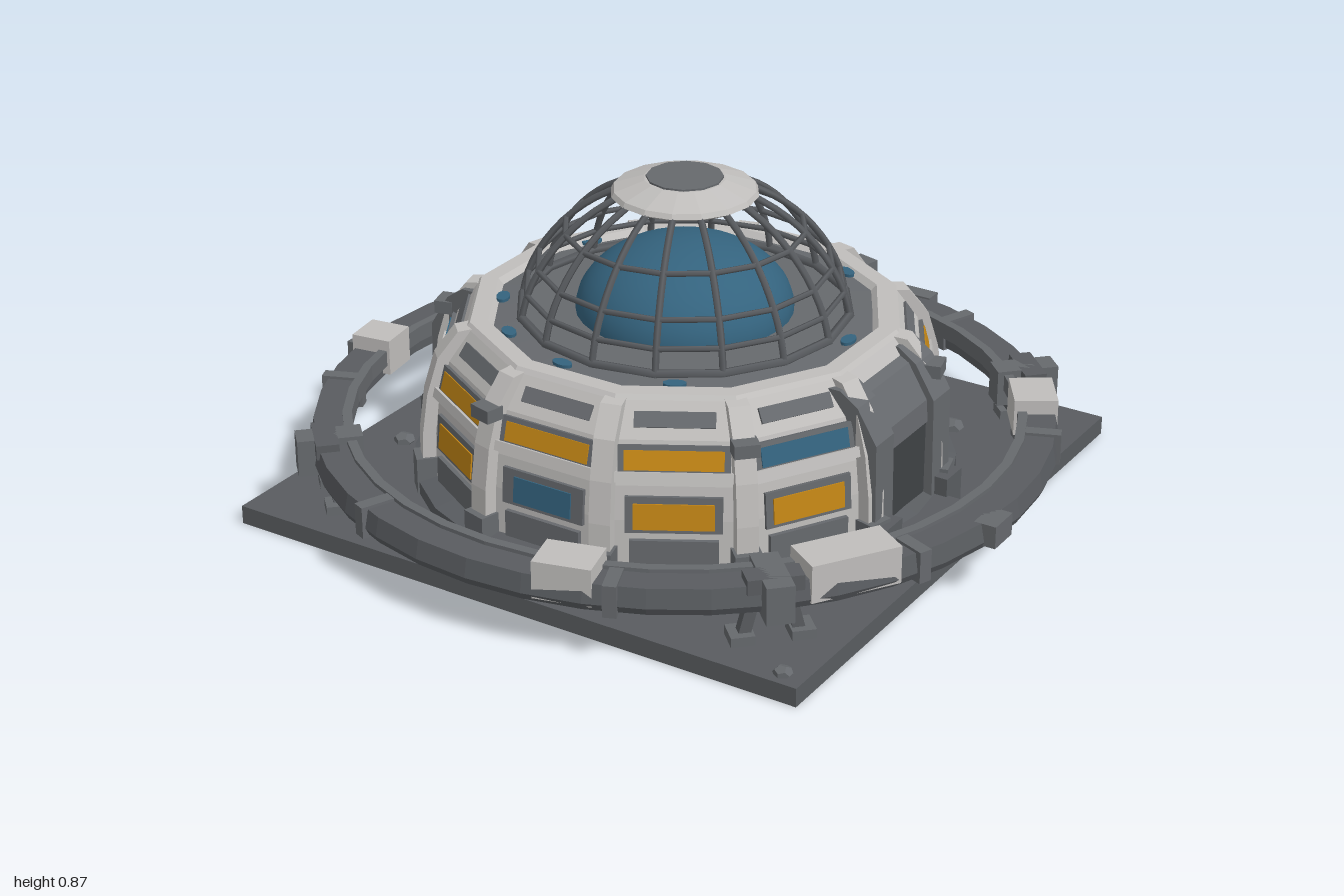
import * as THREE from 'three';

const mat = (name, color) => Object.assign(new THREE.MeshStandardMaterial({ color }), { name });
const white = mat('pale panel', 0xc0bebc);
const gray = mat('mid gray metal', 0x66696d);
const dark = mat('dark gray metal', 0x595c60);
const shade = mat('recess gray', 0x3f4245);
const blue = mat('blue glass', 0x34637e);
const orange = mat('amber window', 0xc58716);

const V2 = (p) => new THREE.Vector2(p[0], p[1]);
const rad = THREE.MathUtils.degToRad;

// Wall profile: distance from the axis to the middle of a flat panel, and height
const WALL = [[0.655, 0.05], [0.65, 0.22], [0.64, 0.31], [0.61, 0.42], [0.555, 0.5]];
function wallAt(y) {
  for (let i = 1; i < WALL.length; i++) {
    const [r0, y0] = WALL[i - 1], [r1, y1] = WALL[i];
    if (y <= y1) return r0 + (r1 - r0) * (y - y0) / (y1 - y0);
  }
  return WALL[WALL.length - 1][0];
}

function flat(geo) {
  const g = geo.index ? geo.toNonIndexed() : geo;
  g.computeVertexNormals();
  return g;
}

export function createModel() {
  const model = new THREE.Group();
  model.name = 'domedHabitat';

  const add = (name, geo, material, parent = model) => {
    const m = new THREE.Mesh(geo, material);
    m.name = name;
    parent.add(m);
    return m;
  };
  const box = (name, size, pos, material, parent = model) => {
    const m = add(name, new THREE.BoxGeometry(...size), material, parent);
    m.position.set(...pos);
    return m;
  };
  const lathe = (name, pts, sides, material, start = 0) =>
    add(name, flat(new THREE.LatheGeometry(pts.map(V2), sides, start)), material);
  // Group whose +z points outward at an angle measured from the front toward +x
  const sector = (name, deg) => {
    const g = new THREE.Group();
    g.name = name;
    g.rotation.y = rad(deg);
    model.add(g);
    return g;
  };
  // Thin plate lying on the sloping wall between two heights
  const plate = (name, w, y0, y1, thick, out, material, parent, x = 0) => {
    const r0 = wallAt(y0), r1 = wallAt(y1);
    const m = box(name, [w, Math.hypot(y1 - y0, r0 - r1), thick],
      [x, (y0 + y1) / 2, (r0 + r1) / 2 + out], material, parent);
    m.rotation.x = -Math.atan2(r0 - r1, y1 - y0);
    return m;
  };

  // Square ground plate
  box('basePlate', [1.66, 0.05, 1.66], [0, 0.025, 0], dark);
  lathe('plinth', [[0.72, 0.05], [0.72, 0.085], [0.66, 0.1]], 24, dark);

  // Twelve-sided body, with the profile widened to its corners
  const k = 1 / Math.cos(Math.PI / 12);
  lathe('bodyWall', [...WALL, [0.545, 0.512], [0.5, 0.512], [0.485, 0.495]].map(([r, y]) => [r * k, y]),
    12, white, Math.PI / 12);
  lathe('roofDeck', [[0.51, 0.495], [0.42, 0.503], [0.0001, 0.503]], 24, gray);

  // Corner pillars following the wall
  const pillar = new THREE.Shape([[0.6, 0.05], [0.705, 0.05], [0.7, 0.22], [0.685, 0.33], [0.655, 0.43],
    [0.6, 0.5], [0.555, 0.505]].map(V2));
  for (let i = 0; i < 12; i++) {
    const s = sector('pillarSector', 15 + 30 * i);
    const g = new THREE.ExtrudeGeometry(pillar, { depth: 0.055, bevelEnabled: false });
    g.translate(0, 0, -0.0275).rotateY(-Math.PI / 2);
    add('pillar', g, white, s);
    box('pillarFoot', [0.07, 0.1, 0.06], [0, 0.1, 0.69], gray, s);
    if (i % 2) box('pillarBracket', [0.065, 0.035, 0.05], [0, 0.42, 0.665], gray, s);
  }

  // Window panels; the two side sectors hold doorways instead
  const upper = { 60: blue, 300: blue };
  const lower = { 0: blue, 180: blue };
  for (let a = 0; a < 360; a += 30) {
    if (a === 90 || a === 270) continue;
    const s = sector('windowSector', a);
    plate('upperFrame', 0.275, 0.345, 0.41, 0.018, 0.002, gray, s);
    plate('upperWindow', 0.245, 0.352, 0.4, 0.009, 0.01, upper[a] || orange, s);
    plate('upperLedge', 0.29, 0.322, 0.347, 0.03, 0.005, white, s);
    plate('topPatch', 0.2, 0.445, 0.478, 0.012, 0.001, gray, s);
    plate('lowerFrame', 0.24, 0.19, 0.285, 0.016, 0.002, gray, s);
    plate('lowerWindow', a % 180 ? 0.2 : 0.17, 0.2, 0.268, 0.009, 0.009, lower[a] || orange, s);
    plate('lowerPanel', 0.22, 0.1, 0.17, 0.02, 0.002, gray, s);
  }

  // Side doorways: stepped jambs, lintel and recessed door
  const jamb = new THREE.Shape([[0.5, 0.05], [0.685, 0.05], [0.68, 0.36], [0.625, 0.45],
    [0.575, 0.485], [0.5, 0.485]].map(V2));
  const lintel = new THREE.Shape([[0.5, 0.3], [0.665, 0.3], [0.66, 0.36], [0.605, 0.45],
    [0.56, 0.475], [0.5, 0.475]].map(V2));
  for (const a of [90, 270]) {
    const s = sector('doorway', a);
    const slab = (name, shape, w, x) => {
      const g = new THREE.ExtrudeGeometry(shape, { depth: w, bevelEnabled: false });
      g.translate(0, 0, -w / 2).rotateY(-Math.PI / 2).translate(x, 0, 0);
      add(name, g, gray, s);
    };
    for (const d of [-1, 1]) {
      slab('jamb', jamb, 0.09, d * 0.15);
      box('jambFoot', [0.08, 0.09, 0.06], [d * 0.16, 0.095, 0.69], dark, s);
    }
    slab('lintel', lintel, 0.22, 0);
    box('doorPanel', [0.21, 0.25, 0.02], [0, 0.175, 0.65], shade, s);
    box('doorStep', [0.26, 0.04, 0.12], [0, 0.07, 0.72], dark, s);
  }

  // Small blue lights on the roof deck
  for (const [x, z] of [[-0.44, -0.22], [-0.26, -0.41], [0.25, -0.41], [0.465, -0.04], [0.23, 0.41],
    [-0.07, 0.46], [-0.29, 0.38], [-0.43, 0.21]]) {
    const m = add('roofLight', new THREE.CylinderGeometry(0.03, 0.03, 0.008, 10), blue);
    m.position.set(x, 0.504, z);
    m.rotation.y = Math.atan2(x, z);
    m.scale.z = 0.6;
  }

  // Inner glass dome
  const dome = add('innerDome', new THREE.SphereGeometry(0.285, 32, 12, 0, Math.PI * 2, 0, Math.PI / 2), blue);
  dome.scale.y = 0.66;
  dome.position.y = 0.503;

  // Open cage: sixteen ribs and their hoops
  const CAGE = [[0.432, 0.5], [0.415, 0.57], [0.378, 0.645], [0.32, 0.72], [0.25, 0.78], [0.17, 0.825]];
  const rib = new THREE.TubeGeometry(
    new THREE.CatmullRomCurve3(CAGE.map(([r, y]) => new THREE.Vector3(0, y, r))), 12, 0.0095, 5);
  for (let i = 0; i < 16; i++) add('cageRib', rib, dark, sector('ribSector', i * 22.5));
  for (const [r, y, t] of [[0.43, 0.508, 0.013], [0.415, 0.57, 0.008], [0.384, 0.635, 0.008], [0.312, 0.728, 0.008]]) {
    const h = add('cageHoop', new THREE.TorusGeometry(r, t, 5, 16), dark);
    h.rotation.x = Math.PI / 2;
    h.position.y = y;
  }

  // Crown cap
  lathe('crownCap', [[0.0001, 0.81], [0.17, 0.81], [0.192, 0.822], [0.185, 0.835], [0.105, 0.862], [0.0001, 0.862]], 16, white);
  const disc = add('crownDisc', new THREE.CylinderGeometry(0.1, 0.1, 0.008, 12), gray);
  disc.position.y = 0.863;

  // Raised outer ring with a slim inner lip
  lathe('outerRing', [[0.89, 0.145], [0.975, 0.145], [0.985, 0.165], [0.975, 0.215], [0.89, 0.215], [0.89, 0.145]], 40, dark);
  lathe('ringLip', [[0.875, 0.18], [0.9, 0.18], [0.9, 0.225], [0.875, 0.225], [0.875, 0.18]], 40, gray);

  // Struts and clamps holding the ring near the plate corners
  for (const a of [45, 135, 225, 315]) {
    const s = sector('ringSupport', a);
    box('clamp', [0.07, 0.1, 0.17], [0, 0.185, 0.94], gray, s);
    box('clampArm', [0.14, 0.04, 0.06], [0, 0.215, 0.95], dark, s);
    for (const d of [-1, 1]) {
      box('strut', [0.03, 0.11, 0.03], [d * 0.06, 0.1, 0.93], dark, s).rotation.z = d * 0.25;
      box('strutFoot', [0.06, 0.03, 0.07], [d * 0.075, 0.06, 0.93], gray, s);
    }
  }
  for (const a of [22, 68, 112, 158, 202, 248, 292, 338]) {
    box('ringBand', [0.035, 0.085, 0.11], [0, 0.18, 0.935], gray, sector('bandSector', a));
  }

  // Pale equipment covers on the ring: angle, length
  for (const [a, len] of [[15, 0.15], [57, 0.24], [123, 0.14], [238, 0.14], [278, 0.11]]) {
    box('ringCover', [len, 0.1, 0.115], [0, 0.205, 0.92], white, sector('coverSector', a));
  }
  for (const x of [-0.97, 0.97]) box('ringEndBlock', [0.06, 0.06, 0.09], [x, 0.185, 0.12], gray);
  box('ringRearBlock', [0.1, 0.07, 0.05], [0.18, 0.185, -0.965], gray);

  // Loose rocks on the plate
  for (const [x, z, r] of [[-0.7, 0.31, 0.03], [-0.78, -0.8, 0.025], [0.51, -0.55, 0.035], [0.77, 0.79, 0.025],
    [-0.32, 0.68, 0.025], [0.3, 0.73, 0.02], [-0.62, -0.33, 0.02]]) {
    const m = add('rock', new THREE.DodecahedronGeometry(r), gray);
    m.position.set(x, 0.055, z);
    m.scale.y = 0.7;
  }
  return model;
}
